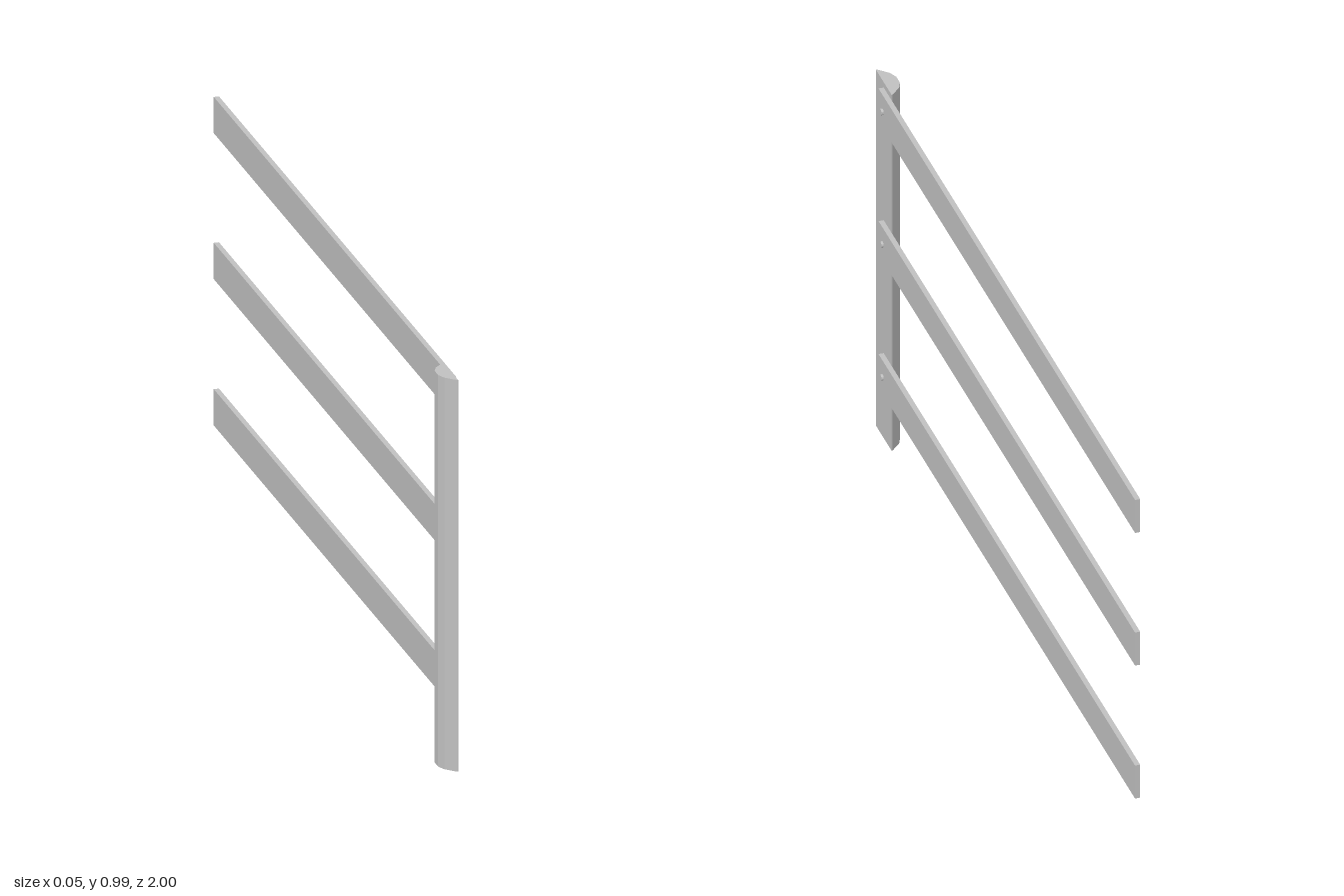
import * as THREE from 'three';

export function createModel() {
  const model = new THREE.Group();
  model.name = 'fenceSection';
  const grey = new THREE.MeshStandardMaterial({ color: 0xc0c0c0, flatShading: true });
  grey.name = 'grey';

  const add = (name, geometry, x, y, z) => {
    const mesh = new THREE.Mesh(geometry, grey);
    mesh.name = name;
    mesh.position.set(x, y, z);
    model.add(mesh);
    return mesh;
  };

  // Half-round post: flat face towards the rails, faceted curve behind
  const half = [[0.008, 0.06], [0.005, 0.059], [-0.019, 0.035], [-0.028, 0.014]];
  const outline = [...half, ...half.map(([x, z]) => [x, -z]).reverse()];
  const profile = new THREE.Shape(outline.map(([x, z]) => new THREE.Vector2(x, -z)));
  const post = new THREE.ExtrudeGeometry(profile, { depth: 0.993, bevelEnabled: false });
  post.rotateX(-Math.PI / 2);
  add('post', post, 0, 0, 0.94);

  // Three rails, each fixed to the post with one bolt
  const rail = new THREE.BoxGeometry(0.013, 0.092, 1.94);
  const bolt = new THREE.CylinderGeometry(0.008, 0.008, 0.006, 12);
  bolt.rotateZ(-Math.PI / 2);
  for (const y of [0.191, 0.562, 0.932]) {
    add('rail', rail, 0.0145, y, -0.03);
    add('bolt', bolt, 0.0235, y, 0.908);
  }
  return model;
}
